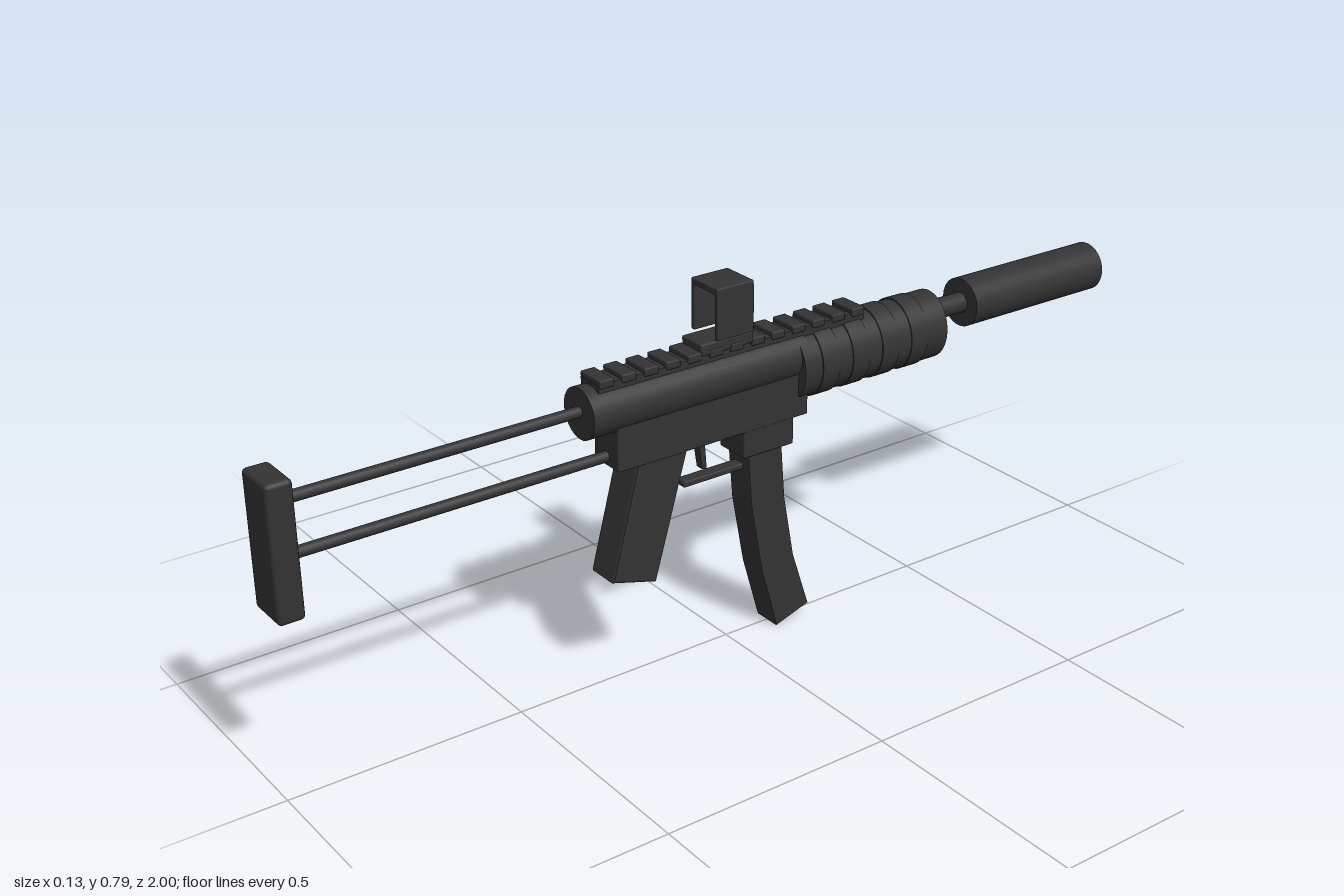
import * as THREE from 'three';
import { RoundedBoxGeometry } from 'three/addons/geometries/RoundedBoxGeometry.js';

const BORE_Y = 0.602;

export function createModel() {
  const model = new THREE.Group();
  const blackMetal = new THREE.MeshStandardMaterial({ color: 0x333333 });
  blackMetal.name = 'blackMetal';

  const add = (name, geometry, x = 0, y = 0, z = 0) => {
    const mesh = new THREE.Mesh(geometry, blackMetal);
    mesh.name = name;
    mesh.position.set(x, y, z);
    model.add(mesh);
    return mesh;
  };

  // Box given by half width and its y and z ranges, with optional rounded edges
  const block = (name, half, y0, y1, z0, z1, round = 0) => {
    const size = [half * 2, y1 - y0, z1 - z0];
    const geometry = round
      ? new RoundedBoxGeometry(...size, 2, round)
      : new THREE.BoxGeometry(...size);
    return add(name, geometry, 0, (y0 + y1) / 2, (z0 + z1) / 2);
  };

  // Cylinder lying along z
  const rod = (name, radius, y, z0, z1, sides = 32) =>
    add(name, new THREE.CylinderGeometry(radius, radius, z1 - z0, sides).rotateX(Math.PI / 2),
      0, y, (z0 + z1) / 2);

  // Side outline of [z, y] points, extruded across x
  const sideProfile = (name, points, half, bevel) => {
    const shape = new THREE.Shape(points.map(([z, y]) => new THREE.Vector2(z, y)));
    const geometry = new THREE.ExtrudeGeometry(shape, {
      depth: 2 * (half - bevel), bevelSize: bevel, bevelThickness: bevel,
      bevelOffset: -bevel, bevelSegments: 2, steps: 1,
    });
    geometry.translate(0, 0, bevel - half).rotateY(-Math.PI / 2);
    return add(name, geometry);
  };

  // Stock
  block('buttPlate', 0.048, 0.388, 0.662, 0.947, 1.0, 0.009);
  rod('upperStockRod', 0.0115, 0.606, 0.3, 0.96, 16);
  rod('lowerStockRod', 0.0115, 0.497, 0.25, 0.96, 16);

  // Receiver
  rod('upperReceiver', 0.053, BORE_Y, -0.17, 0.343);
  block('lowerReceiver', 0.042, 0.477, 0.58, -0.175, 0.285, 0.004);
  block('magazineWell', 0.041, 0.42, 0.49, -0.14, -0.015, 0.004);

  // Oval handguard with raised bands
  const handguard = rod('handguard', 1, 0.577, -0.527, -0.15, 40);
  handguard.scale.set(0.065, 0.074, 1);
  for (let i = 0; i < 4; i++) {
    const z = -0.45 + i * 0.078;
    const band = rod('handguardBand', 1, 0.577, z - 0.022, z + 0.022, 40);
    band.scale.set(0.067, 0.077, 1);
  }

  // Barrel and suppressor
  rod('barrel', 0.022, BORE_Y, -0.65, -0.5, 24);
  rod('suppressor', 0.053, BORE_Y, -0.994, -0.62);
  rod('muzzle', 0.016, BORE_Y, -1.0, -0.98, 20);

  // Toothed top rail
  block('rail', 0.03, 0.63, 0.662, -0.325, 0.318);
  for (let i = 0; i < 13; i++) {
    const z = -0.309 + i * 0.0508;
    block('railTooth', 0.034, 0.655, 0.672, z - 0.016, z + 0.016, 0.003);
  }

  // Sight: foot, open hood and inset panel
  block('sightFoot', 0.033, 0.662, 0.687, -0.043, 0.083, 0.004);
  block('sightRoof', 0.043, 0.783, 0.797, -0.036, 0.052, 0.003);
  for (const side of [-1, 1]) {
    block('sightWall', 0.005, 0.69, 0.79, -0.036, 0.052, 0.002).position.x = side * 0.038;
  }
  block('sightPanel', 0.035, 0.69, 0.786, -0.03, -0.022);

  // Grip, trigger and guard
  sideProfile('grip', [[0.235, 0.49], [0.302, 0.24], [0.2, 0.211], [0.118, 0.49]], 0.04, 0.007);
  sideProfile('trigger', [[0.077, 0.485], [0.066, 0.41], [0.054, 0.406], [0.06, 0.485]], 0.01, 0.002);
  block('triggerGuard', 0.014, 0.383, 0.396, -0.04, 0.113, 0.003);

  // Curved magazine
  sideProfile('magazine', [
    [-0.03, 0.43], [-0.04, 0.3], [-0.068, 0.145], [-0.108, 0.003],
    [-0.192, 0.03], [-0.15, 0.16], [-0.125, 0.3], [-0.115, 0.43],
  ], 0.034, 0.003);

  return model;
}
